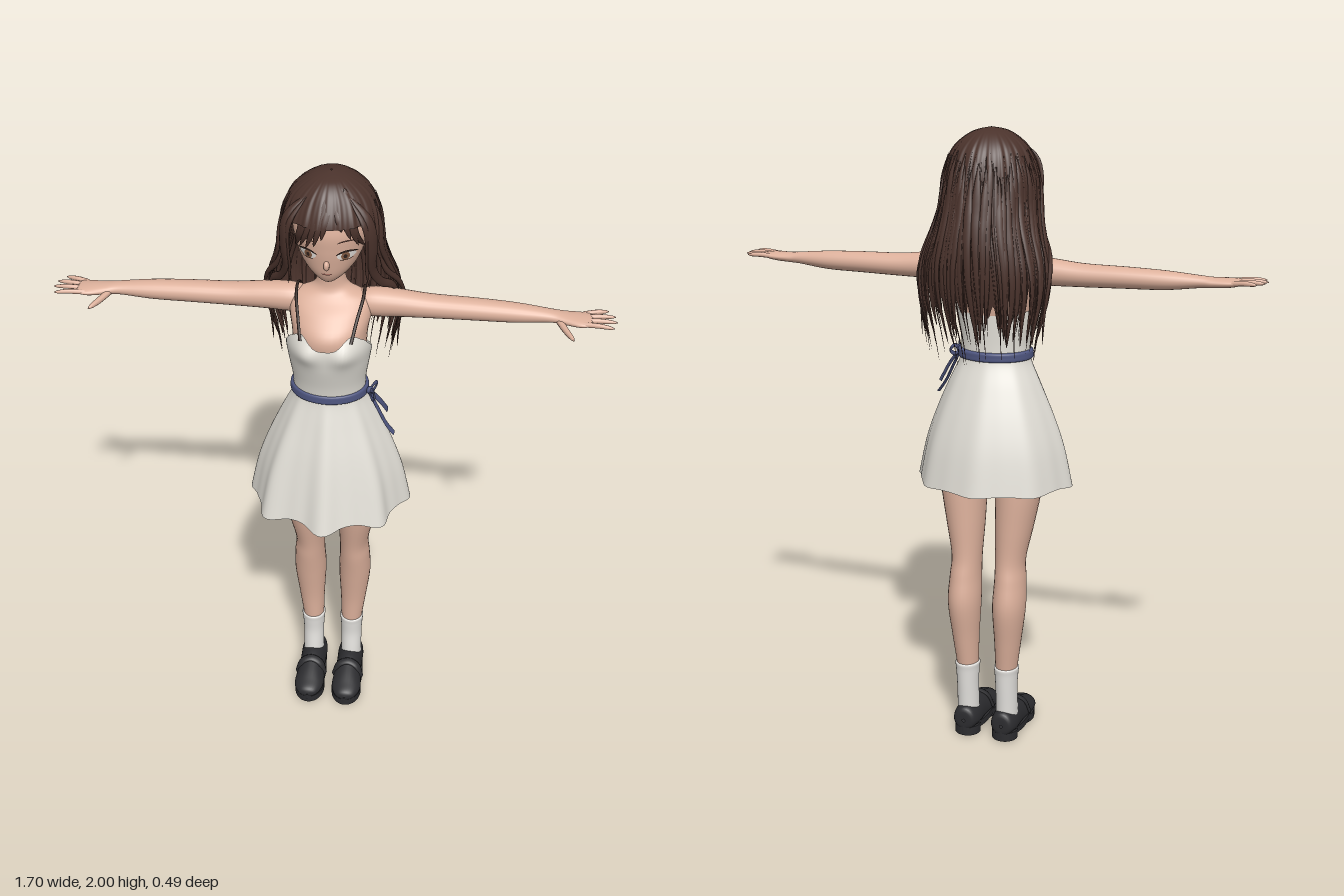
import * as THREE from 'three';
import { mergeVertices } from 'three/addons/utils/BufferGeometryUtils.js';

const V = (x, y, z) => new THREE.Vector3(x, y, z);
const colour = (name, hex, side = THREE.FrontSide) => {
  const m = new THREE.MeshStandardMaterial({ color: hex, side });
  m.name = name;
  return m;
};

// Grid surface from fn(u, v); u runs anticlockwise and v upwards as seen from outside
function surface(fn, nu, nv) {
  const pos = [], idx = [];
  for (let j = 0; j <= nv; j++) for (let i = 0; i <= nu; i++) pos.push(...fn(i / nu, j / nv));
  for (let j = 0; j < nv; j++) for (let i = 0; i < nu; i++) {
    const a = j * (nu + 1) + i, b = a + 1, c = a + nu + 1, d = c + 1;
    idx.push(a, b, d, a, d, c);
  }
  let g = new THREE.BufferGeometry();
  g.setAttribute('position', new THREE.Float32BufferAttribute(pos, 3));
  g.setIndex(idx);
  g = mergeVertices(g, 1e-5);
  g.computeVertexNormals();
  return g;
}

// Smooth interpolation between rows of numbers
function sample(rows, t) {
  const n = rows.length, k = Math.min(Math.max(t, 0), 1) * (n - 1), i = Math.min(Math.floor(k), n - 2), f = k - i;
  const p = rows[Math.max(i - 1, 0)], q = rows[i], r = rows[i + 1], s = rows[Math.min(i + 2, n - 1)];
  return q.map((b, c) => {
    const m0 = (r[c] - p[c]) / 2, m1 = (s[c] - b) / 2, d = r[c] - b;
    return b + f * (m0 + f * (3 * d - 2 * m0 - m1 + f * (m0 + m1 - 2 * d)));
  });
}
function rowAtY(rows, y) {
  let lo = 0, hi = 1;
  for (let i = 0; i < 24; i++) {
    const m = (lo + hi) / 2;
    if (sample(rows, m)[0] < y) lo = m; else hi = m;
  }
  return sample(rows, lo);
}

// Row: height, centre x, centre z, half width, front depth, back depth
const ring = ([y, cx, cz, rx, zf, zb], a, k = 1) =>
  [cx + k * rx * Math.sin(a), y, cz + k * (Math.cos(a) > 0 ? zf : zb) * Math.cos(a)];
const loft = (rows, nu = 28, nv = rows.length * 5) =>
  surface((u, v) => ring(sample(rows, v), u * Math.PI * 2), nu, nv);

// Tapered elliptical tube; size(t) gives half width and half thickness, out(p) the thin direction
function tube(points, size, out, nu = 8, nv = 20) {
  const curve = new THREE.CatmullRomCurve3(points);
  const frames = Array.from({ length: nv + 1 }, (_, j) => {
    const p = curve.getPoint(j / nv), t = curve.getTangent(j / nv);
    const side = out(p).cross(t).normalize();
    return { p, side, up: t.clone().cross(side) };
  });
  return surface((u, v) => {
    const { p, side, up } = frames[Math.round(v * nv)], [w, h] = size(v), a = u * Math.PI * 2;
    return p.clone().addScaledVector(side, w * Math.cos(a)).addScaledVector(up, h * Math.sin(a)).toArray();
  }, nu, nv);
}
function mirrored(geo) {
  const g = geo.clone().scale(-1, 1, 1), ix = g.index.array;
  for (let i = 0; i < ix.length; i += 3) [ix[i], ix[i + 1]] = [ix[i + 1], ix[i]];
  g.computeVertexNormals();
  return g;
}
let seed = 7;
const rnd = () => (seed = (seed * 16807) % 2147483647) / 2147483647;

export function createModel() {
  const skin = colour('skin', 0xdcb09b), hair = colour('hair brown', 0x4b332c, THREE.DoubleSide);
  const cloth = colour('dress cloth', 0xe0ddd5, THREE.DoubleSide), sockMat = colour('sock white', 0xe4e2de);
  const leather = colour('shoe leather', 0x2c2c2f), ribbon = colour('ribbon blue', 0x4e557f);
  const dark = colour('dark line', 0x33241f), white = colour('eye white', 0xeee9e4);
  const irisMat = colour('iris brown', 0x8a6046), lip = colour('lip', 0xb87a6c);
  const model = new THREE.Group();
  model.name = 'girl';
  const add = (name, geo, mat) => {
    const m = new THREE.Mesh(geo, mat);
    m.name = name;
    model.add(m);
  };
  const pair = (name, geo, mat) => {
    add(name + 'Left', geo, mat);
    add(name + 'Right', mirrored(geo), mat);
  };
  const up = () => V(0, 1, 0);

  // Head, neck and shoulders
  const head = [[1.683, 0, .045, .004, .004, .004], [1.69, 0, .035, .025, .028, .03], [1.715, 0, .015, .058, .062, .06],
    [1.75, 0, -.01, .087, .095, .09], [1.8, 0, -.02, .105, .112, .13], [1.86, 0, -.025, .112, .118, .14],
    [1.93, 0, -.03, .09, .095, .11], [1.965, 0, -.03, .004, .004, .004]];
  add('head', loft(head, 40, 48), skin);
  add('upperBody', loft([[1.4, 0, .01, .11, .09, .085], [1.5, 0, 0, .115, .118, .09], [1.56, 0, -.02, .125, .095, .07],
    [1.6, 0, -.03, .115, .058, .05], [1.625, 0, -.035, .06, .044, .045], [1.66, 0, -.035, .042, .04, .042],
    [1.73, 0, -.03, .04, .04, .04]], 40), skin);

  // Face details laid on the head surface
  const faceZ = (x, y) => {
    const r = rowAtY(head, y);
    return r[2] + r[4] * Math.sqrt(Math.max(0, 1 - (x / r[3]) ** 2));
  };
  const decal = (cx, cy, w, h, off, bend = 0) => surface((u, v) => {
    const a = -u * Math.PI * 2, dx = v * Math.cos(a);
    const x = cx + w * dx, y = cy + h * v * Math.sin(a) - bend * dx * dx;
    return [x, y, faceZ(x, y) + off];
  }, 24, 4);
  pair('eyeWhite', decal(.056, 1.786, .026, .013, .002), white);
  pair('iris', decal(.054, 1.786, .012, .0135, .004), irisMat);
  pair('pupil', decal(.054, 1.786, .005, .007, .0055), dark);
  pair('upperLash', decal(.057, 1.802, .03, .0035, .005, .01), dark);
  pair('lowerLash', decal(.057, 1.772, .02, .0013, .003, -.003), dark);
  pair('eyebrow', decal(.056, 1.836, .026, .0025, .003, .006), hair);
  add('mouth', decal(0, 1.724, .016, .003, .003, -.001), lip);
  add('nose', new THREE.SphereGeometry(1, 12, 10).scale(.009, .016, .014).translate(0, 1.755, .087), skin);

  // Arms and hands, lofted upright then laid along x
  const arm = loft([[.07, -1.575, -.04, .03, .035, .035], [.12, -1.573, -.04, .045, .045, .045], [.2, -1.572, -.042, .042, .044, .044],
    [.3, -1.568, -.042, .036, .04, .04], [.43, -1.568, -.04, .033, .038, .038], [.55, -1.567, -.037, .029, .034, .034],
    [.65, -1.568, -.032, .019, .027, .026], [.69, -1.567, -.027, .016, .032, .03], [.74, -1.568, -.02, .014, .042, .037],
    [.77, -1.57, -.018, .009, .038, .035], [.778, -1.57, -.018, .002, .02, .02]], 24);
  pair('arm', arm.rotateZ(-Math.PI / 2), skin);
  const fingers = [[-.047, .825, -.066], [-.029, .845, -.036], [-.009, .85, -.005], [.012, .84, .03]];
  const fingerSize = t => [.0088 * Math.sqrt(1.02 - t ** 4) * (1 - .25 * t), .0078 * Math.sqrt(1.02 - t ** 4)];
  for (const [z0, x1, z1] of fingers)
    pair('finger', tube([V(.75, 1.57, z0), V((.75 + x1) / 2, 1.574, (z0 + z1) / 2), V(x1, 1.573, z1)], fingerSize, up, 8, 10), skin);
  pair('thumb', tube([V(.68, 1.563, -.01), V(.7, 1.556, .03), V(.725, 1.55, .075)],
    t => fingerSize(t).map(s => s * 1.25), up, 8, 10), skin);

  // Legs and socks
  pair('leg', loft([[.1, .068, -.075, .03, .036, .036], [.2, .068, -.077, .032, .036, .038], [.25, .068, -.077, .036, .04, .042],
    [.35, .073, -.078, .044, .046, .055], [.47, .077, -.077, .054, .062, .072], [.56, .077, -.065, .051, .065, .07],
    [.63, .075, -.06, .049, .07, .062], [.74, .083, -.045, .062, .08, .075], [.86, .092, -.033, .075, .088, .085],
    [.98, .095, -.02, .085, .09, .09], [1.1, .08, -.01, .08, .08, .085]]), skin);
  pair('sock', loft([[.06, .068, -.07, .036, .045, .042], [.12, .068, -.073, .036, .042, .042], [.18, .068, -.077, .036, .04, .042],
    [.23, .068, -.077, .039, .043, .045], [.252, .068, -.077, .041, .045, .047], [.256, .068, -.077, .034, .038, .04]]), sockMat);
  add('shorts', loft([[.94, 0, -.015, .004, .004, .004], [.95, 0, -.015, .06, .06, .07], [1.0, 0, -.01, .16, .095, .105],
    [1.1, 0, 0, .165, .1, .11], [1.27, 0, .01, .1, .08, .08]]), cloth);

  // Shoes, lofted from heel to toe
  const upper = loft([[-.13, .066, -.055, .005, .005, .005], [-.125, .066, -.055, .033, .033, .04], [-.09, .066, -.05, .045, .03, .055],
    [-.02, .066, -.045, .045, .025, .062], [.04, .066, -.04, .05, .02, .05], [.09, .067, -.04, .05, .02, .032],
    [.125, .067, -.038, .032, .016, .02], [.135, .067, -.036, .005, .004, .004]]);
  pair('shoeUpper', upper.rotateX(Math.PI / 2), leather);
  const pad = (rx, h, rz, y, z) => new THREE.CylinderGeometry(1, 1, 1, 28).scale(rx, h, rz).translate(.066, y, z);
  pair('shoeSole', pad(.05, .022, .132, .024, .002), leather);
  pair('shoeHeel', pad(.043, .03, .043, .015, -.086), leather);
  pair('shoeTread', pad(.052, .026, .07, .013, .063), leather);
  pair('shoeBand', tube([V(.017, .045, .03), V(.034, .088, .02), V(.066, .102, .015), V(.098, .088, .02), V(.115, .045, .03)],
    () => [.014, .006], p => V(p.x - .066, p.y - .03, .02)), leather);

  // Dress bodice with a curved neckline
  const bodice = [[1.28, 0, .01, .112, .09, .092], [1.34, 0, .015, .113, .095, .095], [1.42, 0, .02, .125, .11, .1],
    [1.48, 0, .02, .132, .115, .1], [1.54, 0, .01, .125, .108, .09]];
  add('bodice', surface((u, v) => {
    const a = u * Math.PI * 2, c = Math.cos(a), s = Math.abs(Math.sin(a));
    const top = c > 0 ? 1.45 + .04 * Math.min(1, c * 2) + .04 * Math.exp(-(((s - .6) / .28) ** 2)) : 1.45 + .02 * c;
    const p = ring(rowAtY(bodice, 1.28 + v * (top - 1.28)), a);
    if (c > 0) p[2] += .02 * Math.exp(-(((Math.abs(p[0]) - .062) / .04) ** 2) - ((p[1] - 1.475) / .04) ** 2);
    return p;
  }, 72, 28), cloth);

  // Skirt with folds that deepen towards the hem
  const skirt = [[.88, 0, .005, .25, .22, .218], [1, 0, .005, .225, .187, .193], [1.1, 0, .005, .192, .158, .163],
    [1.2, 0, .005, .15, .125, .125], [1.27, 0, .01, .118, .097, .1], [1.3, 0, .01, .113, .092, .092]];
  add('skirt', surface((u, v) => {
    const a = u * Math.PI * 2, front = .3 + .7 * Math.max(0, Math.cos(a * .5) ** 2 * 1.4 - .4);
    const wave = (.07 * Math.cos(8 * a) + .018 * Math.cos(16 * a) + .015 * Math.sin(5 * a)) * front;
    const p = ring(sample(skirt, v), a, 1 + wave * (1 - v) ** .8);
    p[1] -= .01 * (1 - v) ** 3 * Math.cos(8 * a) * front;
    return p;
  }, 144, 30), cloth);

  // Shoulder straps
  pair('strap', tube([V(.076, 1.512, .115), V(.088, 1.568, .07), V(.1, 1.61, .015), V(.101, 1.627, -.035),
    V(.096, 1.59, -.078), V(.09, 1.52, -.075), V(.084, 1.425, -.062)], () => [.005, .003],
    p => V(p.x * .3, p.y - 1.52, p.z + .03), 8, 28), dark);

  // Ribbon belt, bow and hanging tails
  add('belt', loft([[1.282, 0, .01, .112, .09, .092], [1.286, 0, .01, .121, .1, .102], [1.298, 0, .01, .122, .101, .103],
    [1.31, 0, .01, .12, .099, .102], [1.313, 0, .01, .11, .09, .092]], 40), ribbon);
  const outX = () => V(1, .2, .1);
  const tails = [[V(.125, 1.295, .035), V(.155, 1.235, .04), V(.182, 1.18, .04), V(.205, 1.145, .035)],
    [V(.125, 1.295, .03), V(.155, 1.25, .01), V(.178, 1.195, -.02)]];
  for (const t of tails) add('ribbonTail', tube(t, () => [.011, .003], outX), ribbon);
  for (const s of [-1, 1]) add('bowLoop', tube([V(.124, 1.296, .03), V(.14, 1.308, .03 + s * .025), V(.145, 1.296, .03 + s * .042),
    V(.136, 1.282, .03 + s * .025), V(.124, 1.292, .03)], () => [.007, .003], () => V(1, 0, 0)), ribbon);
  add('bowKnot', new THREE.SphereGeometry(.013, 12, 10).translate(.128, 1.296, .03), ribbon);

  // Hair shape. Row: height, centre z, half width, back depth, front depth
  const hairRows = [[2, -.03, .003, .003, .003], [1.985, -.03, .06, .07, .07], [1.94, -.03, .115, .125, .115],
    [1.87, -.02, .142, .165, .135], [1.78, -.015, .15, .19, .12], [1.7, -.05, .168, .175, .07], [1.6, -.09, .2, .143, .03],
    [1.5, -.11, .2, .11, .02], [1.42, -.125, .185, .075, .02], [1.35, -.13, .172, .05, .02], [1.28, -.135, .165, .035, .02]];
  const hairAt = (b, v, k = 1) => {
    const [y, zc, X, zb, zf] = sample(hairRows, v), c = Math.cos(b);
    return V(-k * X * Math.sin(b), y, zc - k * (c > 0 ? zb : zf) * c);
  };
  const hairOut = p => V(p.x, (p.y - 1.8) * (p.y > 1.85 ? 1 : 0), p.z + .04);
  add('hairShell', surface((u, v) => {
    const b = (u * 2 - 1) * Math.PI, ab = Math.abs(b), mix = THREE.MathUtils.smoothstep(ab, 1.72, 2.05);
    const jag = .05 * Math.sin(b * 31) + .035 * Math.sin(b * 17 + 1);
    const len = THREE.MathUtils.lerp(.74 + jag, .285, mix), t = (1 - v) * len;
    const ridge = Math.min(1, t * 3) * (.016 * Math.sin(b * 24) + .01 * Math.sin(b * 42 + t * 6));
    return hairAt(b, t, 1 + ridge).toArray();
  }, 240, 40), hair);
  const lockSize = (w, h) => t => {
    const k = Math.min(1, 4 * t + .08) * Math.pow(1 - t, .6) + .002;
    return [w * k, h * k];
  };
  // Broad locks and thin wisps over the back and sides
  for (let i = 0; i < 84; i++) {
    const wisp = i % 2, b0 = -1.75 + 3.5 * (i + rnd() * .8) / 84, drift = (rnd() - .5) * .28;
    const end = wisp ? .82 + rnd() * .17 : .76 + rnd() * .15, start = .2 + rnd() * .12, k = 1 + rnd() * .035;
    const pts = Array.from({ length: 8 }, (_, j) =>
      hairAt(b0 + drift * (j / 7) ** 2, start + (end - start) * j / 7, k));
    add(wisp ? 'hairWisp' : 'hairLock', tube(pts, wisp ? lockSize(.005, .004) : lockSize(.017, .008), hairOut, 8, 24), hair);
  }

  // Swept fringe. Start x, tip x, tip height
  const fringe = [[.01, -.012, 1.85], [.008, -.035, 1.825], [.004, -.058, 1.815], [-.005, -.078, 1.81], [-.02, -.095, 1.795],
    [-.035, -.103, 1.775], [.024, .045, 1.872], [.03, .07, 1.845], [.038, .09, 1.815], [.045, .102, 1.785]];
  for (const [x0, x1, y1] of fringe) {
    const at = (f, y) => {
      const x = THREE.MathUtils.lerp(x0, x1, f);
      return V(x, y, faceZ(x, y) + .022);
    };
    add('fringeLock', tube([V(x0, 1.978, .04), at(.25, 1.935), at(.65, (1.935 + y1) / 2), at(1, y1)], lockSize(.021, .009), hairOut, 8, 18), hair);
  }
  // Locks framing the face
  pair('sideLock', tube([V(.05, 1.965, .045), V(.115, 1.9, .065), V(.128, 1.8, .055), V(.128, 1.72, .03), V(.15, 1.66, -.01),
    V(.185, 1.62, -.06), V(.2, 1.53, -.1), V(.19, 1.44, -.11)], lockSize(.024, .012), hairOut, 10, 40), hair);
  pair('templeLock', tube([V(.06, 1.955, .055), V(.11, 1.88, .075), V(.117, 1.79, .062), V(.113, 1.72, .045), V(.12, 1.655, .03)],
    lockSize(.016, .008), hairOut, 8, 28), hair);
  pair('shoulderLock', tube([V(.14, 1.78, .01), V(.16, 1.7, -.02), V(.2, 1.63, -.07), V(.212, 1.56, -.11), V(.2, 1.46, -.12),
    V(.195, 1.36, -.125)], lockSize(.014, .009), hairOut, 8, 30), hair);

  return model;
}
